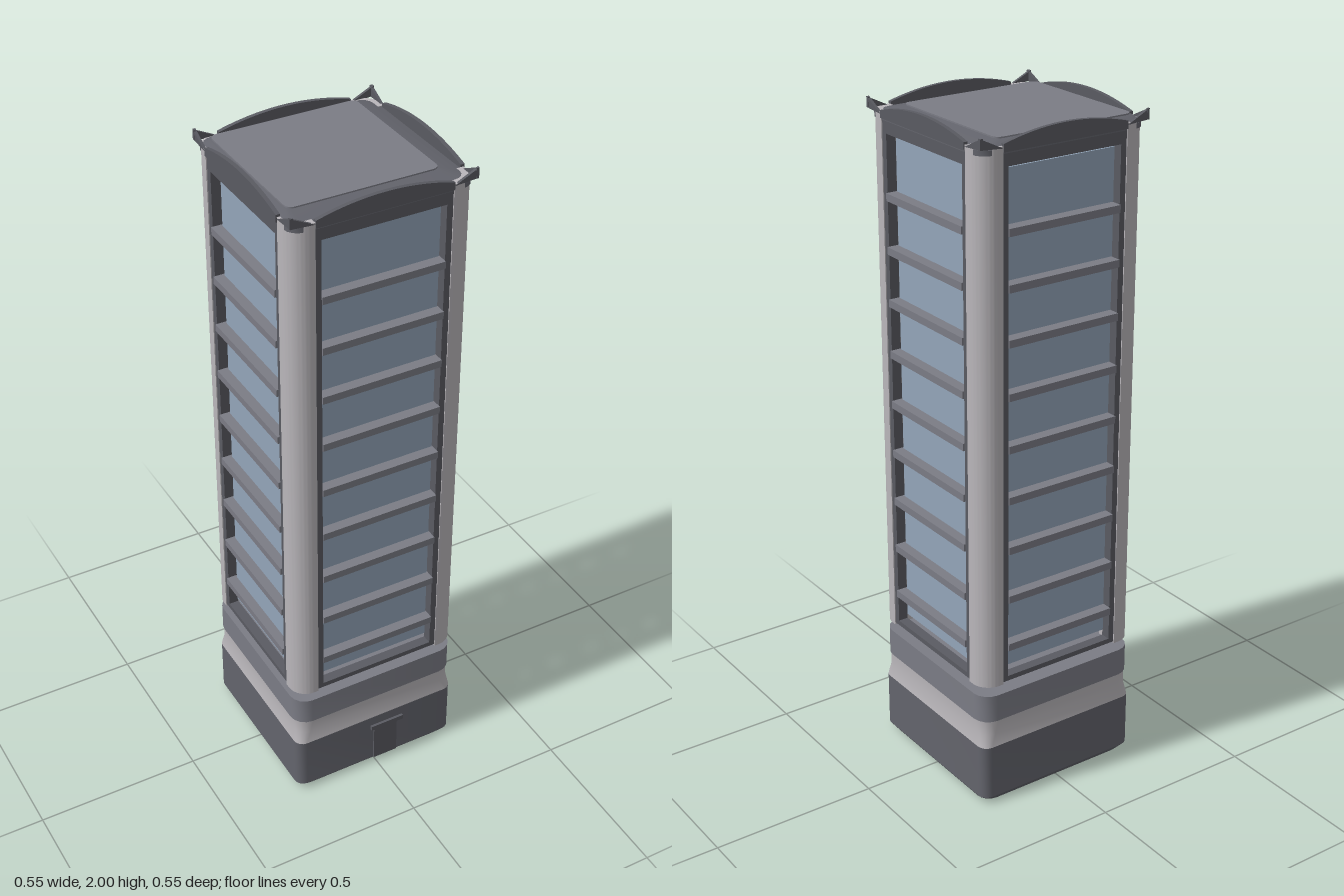
import * as THREE from 'three';
import { toCreasedNormals } from 'three/addons/utils/BufferGeometryUtils.js';

const material = (name, color, side = THREE.FrontSide) => {
  const m = new THREE.MeshStandardMaterial({ color, side });
  m.name = name;
  return m;
};

// Stack of rounded-square rings; each level is [halfWidth, cornerRadius, y, shift]
function loft(levels, steps = 4) {
  const pos = [], index = [];
  const n = 4 * (steps + 1);
  for (const [half, r, y, shift = 0] of levels) {
    for (let corner = 0; corner < 4; corner++) {
      const mid = Math.PI / 4 + corner * Math.PI / 2;
      const cx = Math.sign(Math.cos(mid)) * (half - r);
      const cz = -Math.sign(Math.sin(mid)) * (half - r);
      for (let s = 0; s <= steps; s++) {
        const a = (corner + s / steps) * Math.PI / 2;
        pos.push(cx + r * Math.cos(a) + shift, y, cz - r * Math.sin(a) + shift);
      }
    }
  }
  for (let i = 0; i < levels.length - 1; i++) {
    for (let j = 0; j < n; j++) {
      const a = i * n + j, b = i * n + (j + 1) % n;
      index.push(a, b, a + n, b, b + n, a + n);
    }
  }
  // End caps
  const last = levels.length - 1;
  const bottom = pos.length / 3, top = bottom + 1;
  const s0 = levels[0][3] || 0, s1 = levels[last][3] || 0;
  pos.push(s0, levels[0][2], s0, s1, levels[last][2], s1);
  for (let j = 0; j < n; j++) {
    const k = (j + 1) % n;
    index.push(bottom, k, j, top, last * n + j, last * n + k);
  }
  const g = new THREE.BufferGeometry();
  g.setAttribute('position', new THREE.Float32BufferAttribute(pos, 3));
  g.setIndex(index);
  return toCreasedNormals(g, 0.6);
}

function rectangle(Path, x, y0, y1) {
  return new Path([[-x, y0], [x, y0], [x, y1], [-x, y1]].map(p => new THREE.Vector2(...p)));
}

export function createModel() {
  const model = new THREE.Group();
  model.name = 'tower';

  const stone = material('lightStone', 0xb9b6ba);
  const slate = material('slateGrey', 0x7b7c85);
  const dark = material('darkGrey', 0x63646c);
  const trim = material('trimGrey', 0x5a5b62);
  const glass = material('blueGlass', 0x93a5b9);

  const add = (parent, name, geometry, mat, x = 0, y = 0, z = 0) => {
    const mesh = new THREE.Mesh(geometry, mat);
    mesh.name = name;
    mesh.position.set(x, y, z);
    parent.add(mesh);
    return mesh;
  };

  // Podium: dark base, pale band and slate slab
  add(model, 'base', loft([[0.2, 0.04, 0.03], [0.255, 0.04, 0], [0.27, 0.03, 0.02], [0.27, 0.03, 0.19]]), dark);
  add(model, 'paleBand', loft([[0.27, 0.03, 0.19], [0.265, 0.04, 0.23], [0.268, 0.05, 0.275]]), stone);
  add(model, 'podiumSlab', loft([[0.27, 0.05, 0.275], [0.27, 0.05, 0.36]]), slate);

  // Entrance on the front of the base
  add(model, 'door', new THREE.BoxGeometry(0.08, 0.12, 0.008), trim, 0.03, 0.08, 0.271);
  add(model, 'doorCanopy', new THREE.BoxGeometry(0.11, 0.015, 0.02), trim, 0.035, 0.15, 0.268);

  // Rounded corner columns
  const section = new THREE.Shape();
  section.moveTo(0.2, 0.2);
  section.lineTo(0.27, 0.2);
  section.lineTo(0.27, 0.215);
  section.absarc(0.215, 0.215, 0.055, 0, Math.PI / 2, false);
  section.lineTo(0.2, 0.27);
  section.closePath();
  const columnGeometry = toCreasedNormals(
    new THREE.ExtrudeGeometry(section, { depth: 1.575, bevelEnabled: false, curveSegments: 8 })
      .rotateX(-Math.PI / 2), 0.6);

  // Window frame with one tall opening
  const frameShape = rectangle(THREE.Shape, 0.202, 0.395, 1.955);
  frameShape.holes.push(rectangle(THREE.Path, 0.182, 0.41, 1.91));
  const frameGeometry = new THREE.ExtrudeGeometry(frameShape, { depth: 0.03, bevelEnabled: false });

  // Shallow arched cornice
  const arch = new THREE.Shape();
  arch.moveTo(-0.2, 1.95);
  arch.lineTo(0.2, 1.95);
  arch.lineTo(0.2, 1.972);
  arch.quadraticCurveTo(0.1, 2.0, 0, 2.0);
  arch.quadraticCurveTo(-0.1, 2.0, -0.2, 1.972);
  const archGeometry = new THREE.ExtrudeGeometry(arch, { depth: 0.012, bevelEnabled: false });

  const barGeometry = new THREE.BoxGeometry(0.364, 0.022, 0.04);
  const pitch = 0.1537;

  // Four identical sides
  for (let i = 0; i < 4; i++) {
    const side = new THREE.Group();
    side.name = 'facade' + (i + 1);
    side.rotation.y = i * Math.PI / 2;
    model.add(side);

    add(side, 'cornerColumn', columnGeometry, stone, 0, 0.39, 0);
    add(side, 'windowFrame', frameGeometry, trim, 0, 0, 0.237);
    add(side, 'cornice', archGeometry, trim, 0, 0, 0.261);

    // Ten panes separated by nine bars
    for (let k = 0; k < 10; k++) {
      const low = k === 0 ? 0.432 : 0.51 + (k - 1) * pitch + 0.009;
      const high = k === 9 ? 1.9 : 0.51 + k * pitch - 0.015;
      add(side, 'glassPane', new THREE.BoxGeometry(0.348, high - low, 0.008), glass,
        0.004, (low + high) / 2, 0.24);
      if (k < 9) add(side, 'floorBar', barGeometry, slate, 0, 0.505 + k * pitch, 0.252);
    }

    // Pointed tip above each column
    const tip = new THREE.Shape();
    tip.moveTo(0.2, 1.96);
    tip.lineTo(0.272, 1.965);
    tip.lineTo(0.272, 1.995);
    tip.closePath();
    const tipGeometry = new THREE.ExtrudeGeometry(tip, { depth: 0.008, bevelEnabled: false });
    add(side, 'cornerTip', tipGeometry, trim, 0, 0, 0.263);
    add(side, 'cornerTip', tipGeometry, trim, 0, 0, 0.263).rotation.y = 0;
    side.children.at(-1).geometry = tipGeometry.clone().rotateY(Math.PI).translate(0, 0, 0.008);
  }

  // Roof: dark sloping border around a flat deck set towards the back right
  add(model, 'roofBorder', loft([[0.268, 0.04, 1.945], [0.268, 0.04, 1.96], [0.222, 0.02, 1.977, -0.02]]), dark);
  add(model, 'roofDeck', loft([[0.22, 0.02, 1.974, -0.02], [0.22, 0.02, 1.981, -0.02]]), slate);
  return model;
}
